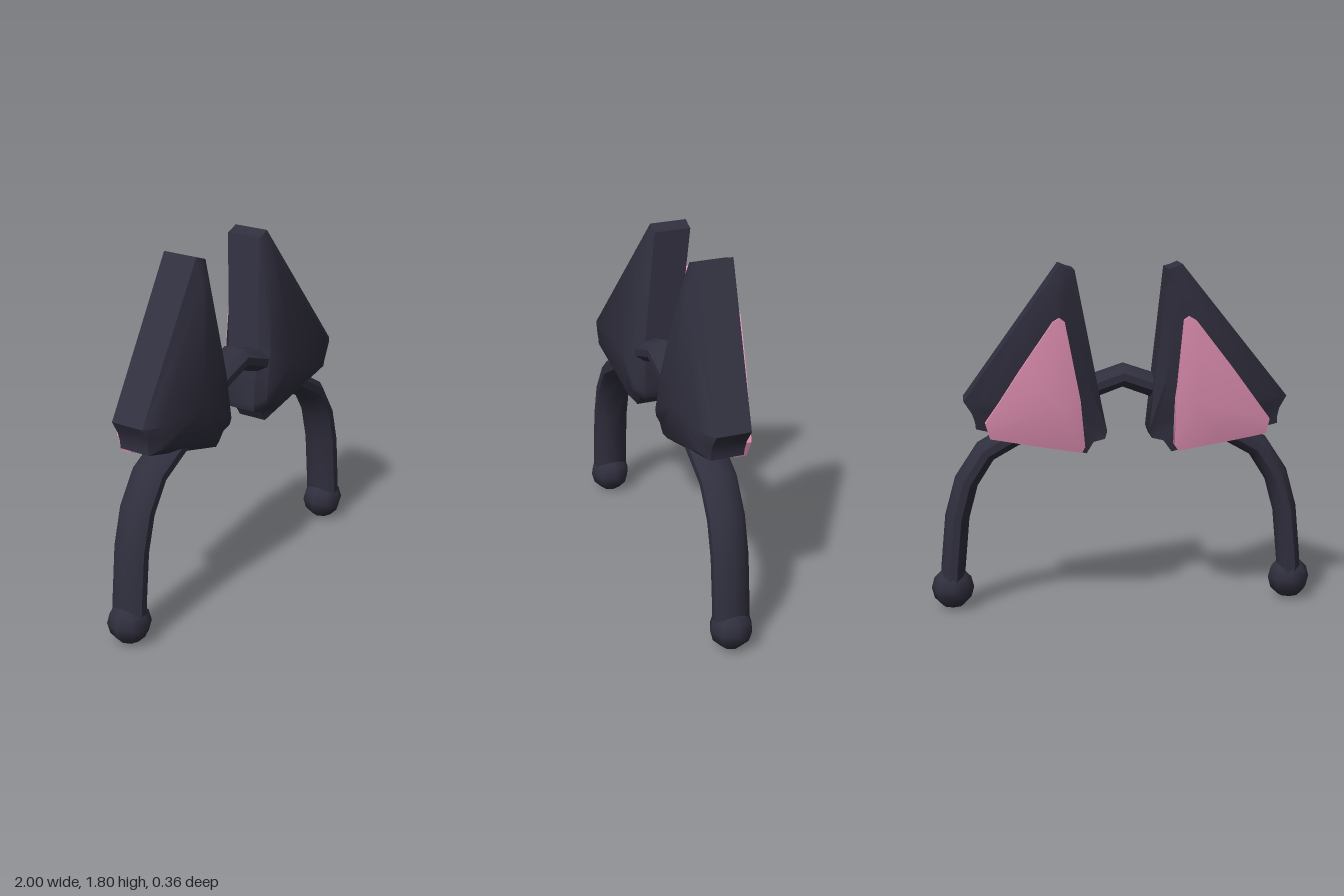
import * as THREE from 'three';
import { toCreasedNormals } from 'three/addons/utils/BufferGeometryUtils.js';

const BAND_Z = 0.07;

// Skins a list of rings and closes both ends with a fan around a centre point.
function loft(rings, startCentre, endCentre, flip = false) {
  const n = rings[0].length, pos = [], idx = [];
  const tri = (a, b, c) => idx.push(...(flip ? [a, c, b] : [a, b, c]));
  rings.forEach(r => r.forEach(p => pos.push(...p)));
  const last = (rings.length - 1) * n, c0 = rings.length * n, c1 = c0 + 1;
  pos.push(...startCentre, ...endCentre);
  for (let j = 0; j < n; j++) {
    const k = (j + 1) % n;
    for (let i = 0; i < last; i += n) {
      tri(i + j, i + n + j, i + k);
      tri(i + k, i + n + j, i + n + k);
    }
    tri(c0, j, k);
    tri(c1, last + k, last + j);
  }
  const g = new THREE.BufferGeometry();
  g.setAttribute('position', new THREE.Float32BufferAttribute(pos, 3));
  g.setIndex(idx);
  return toCreasedNormals(g, 0.75);
}

// Ear silhouette with small notches at the corners
const EAR = [
  [0.275, 1.8], [0.24, 1.785], [0.205, 1.775], [0.155, 1.245], [0.125, 0.94], [0.14, 0.9],
  [0.2, 0.885], [0.243, 0.825], [0.79, 0.965], [0.79, 1.0], [0.8, 1.045], [0.835, 1.11],
];
// Inner ear panel, raised from the back of the ear
const PANEL = [
  [0.345, 1.52, -0.18], [0.31, 1.54, -0.178], [0.285, 1.52, -0.175], [0.25, 1.12, -0.15],
  [0.25, 0.87, -0.09], [0.27, 0.84, -0.088], [0.5, 0.88, -0.092], [0.725, 0.92, -0.085],
  [0.74, 1.0, -0.1], [0.54, 1.27, -0.145],
];

// Depth rules: the ear leans backward towards its tip
const frontZ = y => (y > 1.07 ? 0.183 - 0.15 * (y - 1.07) : 0.183 - 0.07 * (1.07 - y));
const frontRimZ = y => 0.13 - 0.13 * Math.max(0, y - 1.1);
const backRimZ = y => (y > 1.1 ? -0.05 - 0.15 * (y - 1.1) : -0.05 + 0.08 * (1.1 - y));
const backZ = (x, y) =>
  -0.165 + (x > 0.3 ? 0.1 * (x - 0.3) : 0.4 * (0.3 - x)) + 0.3 * Math.max(0, 1.25 - y);

function createEar(side, dark, pink) {
  const group = new THREE.Group();
  group.name = side > 0 ? 'leftEar' : 'rightEar';
  // Mirror one ear and lean the other slightly
  const place = ([x, y, z]) => (side < 0 ? [-x, y, z] : [x + 0.11 * (y - 1.25), y, z]);
  const inset = s => EAR.map(([x, y]) => [0.4 + (x - 0.4) * s, 1.1 + (y - 1.1) * s]);
  const rings = [
    inset(0.82).map(([x, y]) => [x, y, frontZ(y)]),
    EAR.map(([x, y]) => [x, y, frontRimZ(y)]),
    EAR.map(([x, y]) => [x, y, backRimZ(y)]),
    inset(0.8).map(([x, y]) => [x, y, backZ(x, y)]),
  ];
  const shell = new THREE.Mesh(
    loft(rings.map(r => r.map(place)), place([0.4, 1.1, frontZ(1.1)]),
      place([0.4, 1.1, -0.13]), side < 0), dark);
  shell.name = 'earShell';

  const base = PANEL.map(([x, y, z]) => [x, y, z + 0.06]);
  const panel = new THREE.Mesh(
    loft([base, PANEL].map(r => r.map(place)), place([0.4, 1.1, -0.08]),
      place([0.35, 1.1, -0.162]), side < 0), pink);
  panel.name = 'innerEar';
  group.add(shell, panel);
  return group;
}

// Arched band with an oval section
function createBand(material) {
  const half = [[0.89, 0.1], [0.885, 0.22], [0.86, 0.49], [0.81, 0.675], [0.71, 0.83],
    [0.5, 0.95], [0.2, 1.145]];
  const path = [...half.map(([x, y]) => [-x, y]), [0, 1.215], ...half.slice().reverse()]
    .map(([x, y]) => new THREE.Vector2(x, y));
  const rings = path.map((p, i) => {
    const t = path[Math.min(i + 1, path.length - 1)].clone()
      .sub(path[Math.max(i - 1, 0)]).normalize();
    return Array.from({ length: 10 }, (_, j) => {
      const a = (j / 10) * Math.PI * 2, r = 0.063 * Math.cos(a);
      return [p.x + t.y * r, p.y - t.x * r, BAND_Z + 0.095 * Math.sin(a)];
    });
  });
  const end = s => [s * 0.89, 0.1, BAND_Z];
  const band = new THREE.Mesh(loft(rings, end(-1), end(1)), material);
  band.name = 'headband';
  return band;
}

export function createModel() {
  const dark = new THREE.MeshStandardMaterial({ color: 0x302f3e });
  dark.name = 'charcoal';
  const pink = new THREE.MeshStandardMaterial({ color: 0xe291b4 });
  pink.name = 'pink';

  const model = new THREE.Group();
  model.name = 'earHeadband';
  model.add(createBand(dark));
  for (const side of [-1, 1]) {
    model.add(createEar(side, dark, pink));
    // Round tip at the end of the band
    const tip = new THREE.Mesh(new THREE.SphereGeometry(0.11, 8, 6), dark);
    tip.name = side > 0 ? 'leftBandTip' : 'rightBandTip';
    tip.position.set(side * 0.89, 0.11, BAND_Z);
    model.add(tip);
  }
  return model;
}
